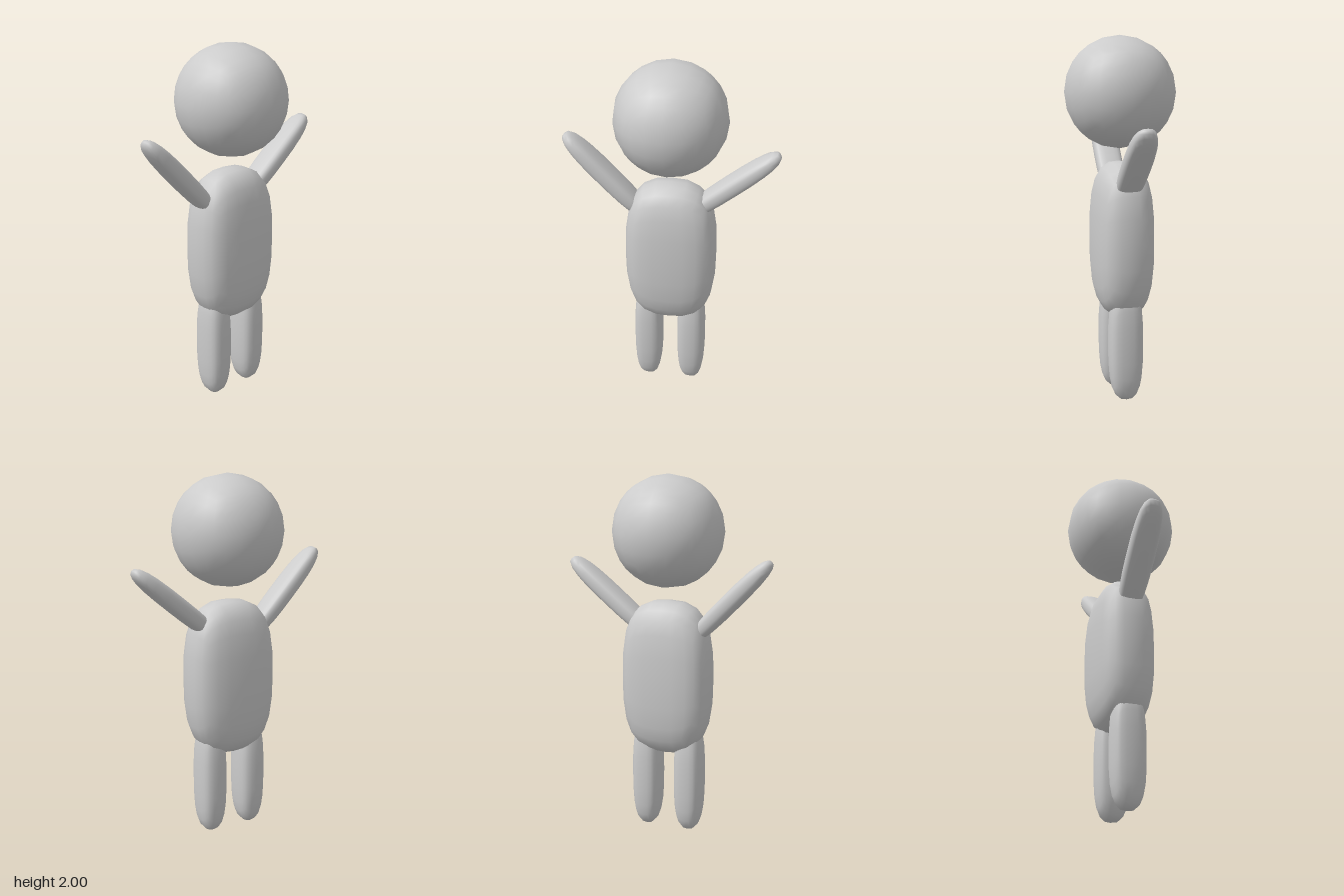
import * as THREE from 'three';
import { mergeVertices } from 'three/addons/utils/BufferGeometryUtils.js';

const material = new THREE.MeshStandardMaterial({ color: 0xcccccc });

// Cube grid pulled onto a superellipsoid: power 2 is a ball, higher powers are boxier
function roundedForm(name, halfSize, position, power = 2.9, tilt = 0) {
  let geometry = new THREE.BoxGeometry(2, 2, 2, 6, 6, 6);
  geometry.deleteAttribute('uv');
  geometry.deleteAttribute('normal');
  geometry = mergeVertices(geometry);
  const points = geometry.attributes.position;
  const v = new THREE.Vector3();
  for (let i = 0; i < points.count; i++) {
    v.fromBufferAttribute(points, i);
    const length = Math.abs(v.x) ** power + Math.abs(v.y) ** power + Math.abs(v.z) ** power;
    v.multiplyScalar(length ** (-1 / power));
    points.setXYZ(i, v.x * halfSize[0], v.y * halfSize[1], v.z * halfSize[2]);
  }
  geometry.computeVertexNormals();
  const mesh = new THREE.Mesh(geometry, material);
  mesh.name = name;
  mesh.position.set(...position);
  mesh.rotation.z = tilt;
  return mesh;
}

export function createModel() {
  const model = new THREE.Group();
  model.name = 'figure';

  // Head floats just above the body
  model.add(roundedForm('head', [0.305, 0.305, 0.305], [0, 1.695, 0], 2));
  model.add(roundedForm('body', [0.253, 0.432, 0.163], [0, 0.888, -0.008]));

  // Legs sink into the underside of the body
  const leg = [0.08, 0.32, 0.095];
  model.add(roundedForm('leftLeg', leg, [0.12, 0.32, -0.005]));
  model.add(roundedForm('rightLeg', leg, [-0.13, 0.32, -0.005]));

  // Raised arms, the right one a little higher
  const arm = [0.05, 0.32, 0.077];
  model.add(roundedForm('leftArm', arm, [0.326, 1.32, -0.01], 2.9, -0.887));
  model.add(roundedForm('rightArm', arm, [-0.356, 1.332, -0.01], 2.9, 0.764));

  return model;
}
